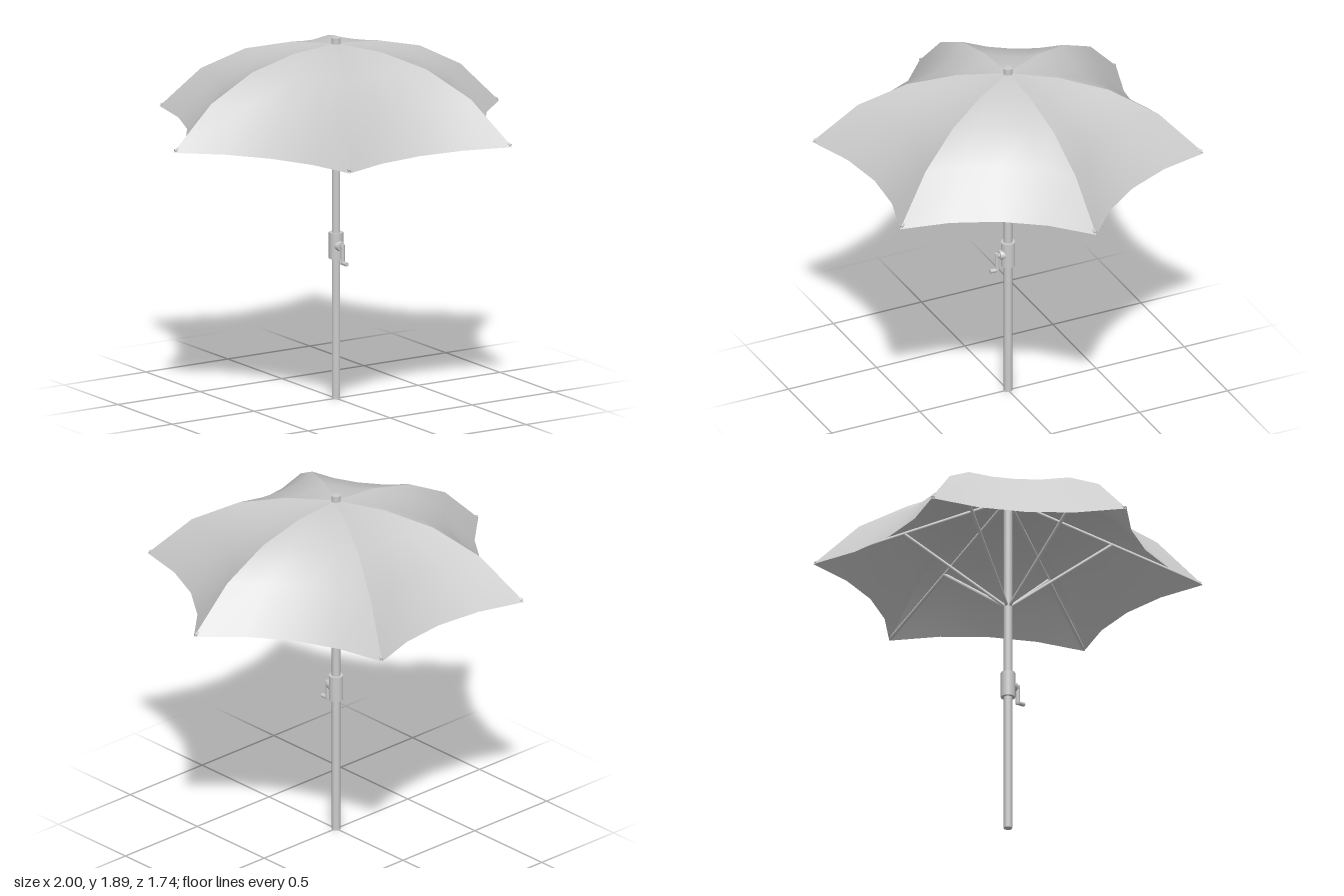
import * as THREE from 'three';

const RIBS = 6;
// Canopy profile along a rib: [radius, height]
const PROFILE = [[0.004, 1.862], [0.26, 1.842], [0.515, 1.78], [0.765, 1.65], [1, 1.425]];
const SAG = 0.106; // inward curve of the rim between two tips

const material = new THREE.MeshStandardMaterial({ color: 0xcccccc });
const fabric = new THREE.MeshStandardMaterial({ color: 0xcccccc, side: THREE.DoubleSide });

function add(parent, name, geometry, mat = material) {
  const mesh = new THREE.Mesh(geometry, mat);
  mesh.name = name;
  parent.add(mesh);
  return mesh;
}

// Cylinder between two points
function rod(parent, name, a, b, r, sides = 8, rEnd = r) {
  const from = new THREE.Vector3(...a), to = new THREE.Vector3(...b);
  const dir = to.clone().sub(from);
  const mesh = add(parent, name, new THREE.CylinderGeometry(rEnd, r, dir.length(), sides));
  mesh.position.copy(from).add(to).multiplyScalar(0.5);
  mesh.quaternion.setFromUnitVectors(new THREE.Vector3(0, 1, 0), dir.normalize());
  return mesh;
}

// One fabric panel facing +z: rows follow the profile, columns run from rib to rib
function panelGeometry() {
  const n = PROFILE.length - 1, cols = 4;
  const geo = new THREE.PlaneGeometry(1, 1, cols, n);
  const pos = geo.attributes.position;
  const half = Math.PI / RIBS;
  for (let i = 0; i < pos.count; i++) {
    const u = (i % (cols + 1)) / cols;
    const [r, y] = PROFILE[Math.floor(i / (cols + 1))];
    const x = (2 * u - 1) * Math.sin(half);
    const z = Math.cos(half) - SAG * 4 * u * (1 - u);
    pos.setXYZ(i, x * r, y, z * r);
  }
  geo.computeVertexNormals();
  return geo;
}

export function createModel() {
  const model = new THREE.Group();
  model.name = 'parasol';

  // Pole and finial
  rod(model, 'pole', [0, 0, 0], [0, 1.87, 0], 0.022, 16);
  rod(model, 'finial', [0, 1.852, 0], [0, 1.892, 0], 0.024, 12);

  // Canopy panels with creases along the ribs
  const canopy = new THREE.Group();
  canopy.name = 'canopy';
  canopy.rotation.y = 0.01;
  model.add(canopy);
  const panel = panelGeometry();
  for (let i = 0; i < RIBS; i++) {
    add(canopy, 'canopyPanel', panel, fabric).rotation.y = (i * 2 * Math.PI) / RIBS;
  }

  // Straight ribs and the struts that hold them
  for (let i = 0; i < RIBS; i++) {
    const arm = new THREE.Group();
    arm.name = 'ribAndStrut';
    arm.rotation.y = (i * 2 * Math.PI) / RIBS;
    rod(arm, 'rib', [0, 1.845, 0], [0.99, 1.433, 0], 0.009);
    rod(arm, 'strut', [0.005, 1.24, 0], [0.53, 1.62, 0], 0.009);
    canopy.add(arm);
  }

  // Crank housing on the pole
  const crank = new THREE.Group();
  crank.name = 'crank';
  model.add(crank);
  rod(crank, 'crankHousing', [0, 0.735, 0], [0, 0.872, 0], 0.037, 20);
  rod(crank, 'crankBoss', [0, 0.805, 0.025], [0, 0.805, 0.05], 0.028, 16, 0.022);
  rod(crank, 'crankShaft', [0, 0.805, 0.045], [0, 0.805, 0.066], 0.012, 12);

  // Bent crank arm and handle
  const path = new THREE.CurvePath();
  const points = [[0, 0.812, 0.062], [0, 0.722, 0.062], [0, 0.72, 0.066], [0, 0.72, 0.102]]
    .map((p) => new THREE.Vector3(...p));
  for (let i = 0; i < 3; i++) path.add(new THREE.LineCurve3(points[i], points[i + 1]));
  rod(crank, 'crankArm', [0, 0.818, 0.062], [0, 0.714, 0.062], 0.011, 10);
  rod(crank, 'crankHandle', [0, 0.722, 0.055], [0, 0.722, 0.102], 0.011, 10);

  return model;
}
